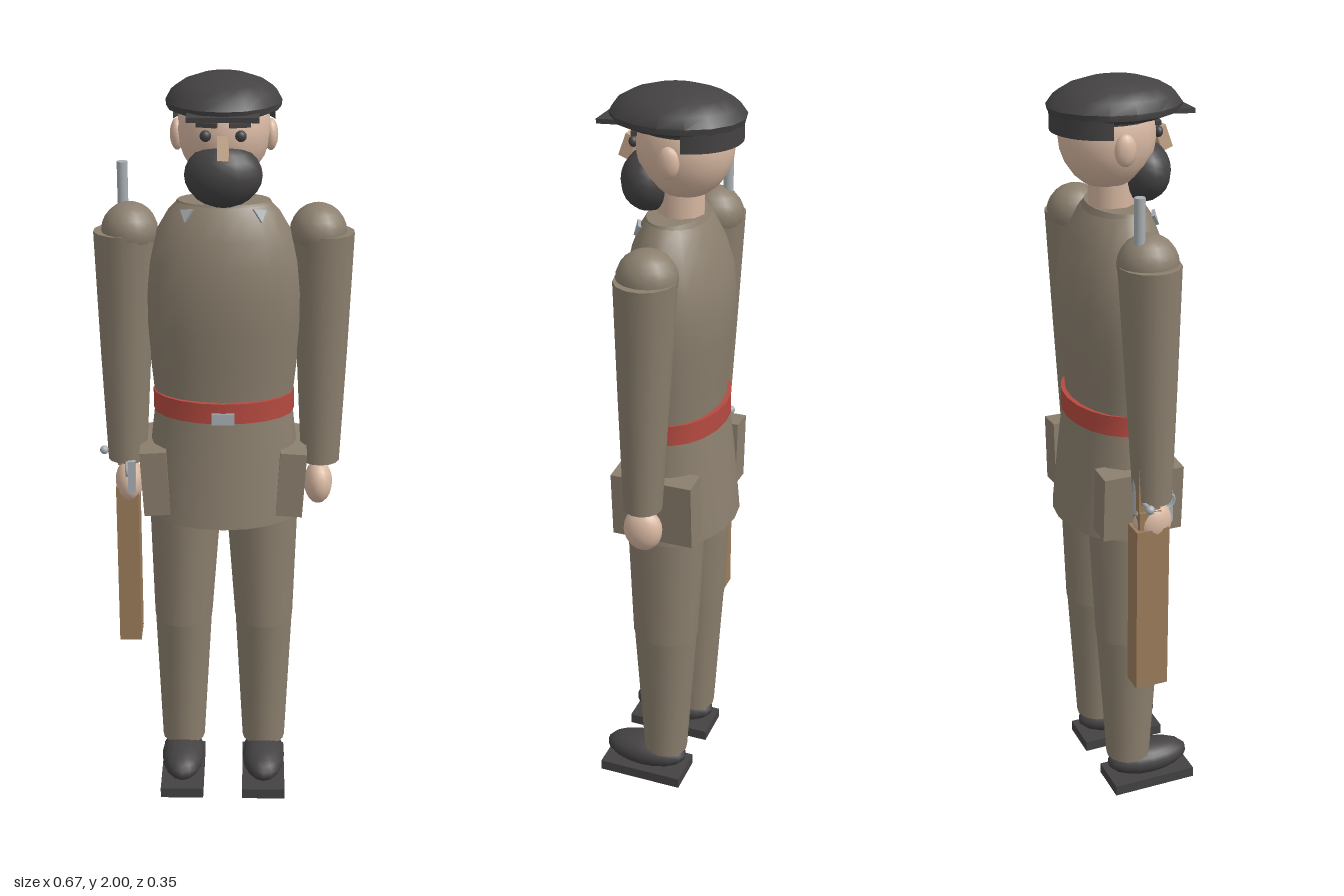
import * as THREE from 'three';
import { toCreasedNormals } from 'three/addons/utils/BufferGeometryUtils.js';

const mat = (name, color) => {
  const m = new THREE.MeshStandardMaterial({ color });
  m.name = name;
  return m;
};

export function createModel() {
  const cloth = mat('khaki cloth', 0x8b7f6e);
  const skin = mat('skin', 0xd8b8a2);
  const nose = mat('nose skin', 0xc9a98c);
  const dark = mat('charcoal', 0x444243);
  const red = mat('red belt', 0xb54a40);
  const metal = mat('grey metal', 0xa9b0b4);
  const wood = mat('wood', 0x9c7d5c);
  const model = new THREE.Group();
  model.name = 'soldier';

  const add = (name, geo, material, x = 0, y = 0, z = 0) => {
    const m = new THREE.Mesh(geo, material);
    m.name = name;
    m.position.set(x, y, z);
    model.add(m);
    return m;
  };
  const box = (name, material, w, h, d, x, y, z) =>
    add(name, new THREE.BoxGeometry(w, h, d), material, x, y, z);
  const ball = (name, material, rx, ry, rz, x, y, z, seg = 16) => {
    const m = add(name, new THREE.SphereGeometry(1, seg, 12), material, x, y, z);
    m.scale.set(rx, ry, rz);
    return m;
  };
  const rod = (name, material, r, h, x, y, z) =>
    add(name, new THREE.CylinderGeometry(r, r, h, 10), material, x, y, z);

  // Closed elliptical loft; rings run top to bottom as [y, rx, rz, cx, cz]
  const loft = (name, material, rings, seg = 20) => {
    const first = rings[0], last = rings[rings.length - 1];
    const tip = (r) => [r[0], 0.0005, 0.0005, r[3], r[4]];
    const rows = [tip(first), ...rings, tip(last)];
    const g = new THREE.CylinderGeometry(1, 1, 1, seg, rows.length - 1, true);
    const p = g.attributes.position;
    for (let i = 0; i < p.count; i++) {
      const [y, rx, rz, cx = 0, cz = 0] = rows[Math.floor(i / (seg + 1))];
      p.setXYZ(i, p.getX(i) * rx + cx, y, p.getZ(i) * rz + cz);
    }
    return add(name, toCreasedNormals(g, 0.7), material);
  };

  // Tunic, skirt and belt
  loft('tunic', cloth, [
    [1.68, 0.12, 0.07, 0, 0], [1.66, 0.14, 0.085, 0, -0.002], [1.6, 0.175, 0.11, 0, -0.005],
    [1.53, 0.196, 0.128, 0, -0.009], [1.45, 0.205, 0.135, 0, -0.01],
    [1.36, 0.203, 0.131, 0, -0.01], [1.26, 0.192, 0.12, 0, -0.01], [1.12, 0.178, 0.11, 0, -0.01]]);
  loft('collar', cloth, [[1.685, 0.118, 0.07, 0, -0.002], [1.655, 0.133, 0.084, 0, -0.002]]);
  loft('tunicSkirt', cloth, [
    [1.13, 0.182, 0.122, 0, -0.01], [1.0, 0.197, 0.138, 0, -0.01], [0.83, 0.208, 0.156, 0, -0.01]]);
  loft('belt', red, [[1.175, 0.186, 0.127, 0, -0.01], [1.12, 0.186, 0.127, 0, -0.01]]);
  box('buckle', metal, 0.06, 0.03, 0.01, 0, 1.135, 0.117);

  for (const s of [-1, 1]) {
    // Collar tab
    const tri = new THREE.Shape();
    tri.moveTo(-0.018, 0.014);
    tri.lineTo(0.006 * s, -0.018);
    tri.lineTo(0.018, 0.014);
    const tab = add('collarTab', new THREE.ExtrudeGeometry(tri, { depth: 0.008, bevelEnabled: false }),
      metal, s * 0.088, 1.66, 0.066);
    tab.rotation.set(-0.4, s * 0.45, 0);

    // Side pocket
    const pocket = box('pocket', cloth, 0.07, 0.18, 0.22, s * 0.18, 0.94, -0.01);
    pocket.rotation.z = -s * 0.06;

    // Legs
    loft('upperLeg', cloth, [
      [0.93, 0.095, 0.104, s * 0.105, -0.01], [0.8, 0.095, 0.103, s * 0.105, -0.01],
      [0.5, 0.08, 0.09, s * 0.112, -0.01]], 16);
    loft('lowerLeg', cloth, [
      [0.505, 0.079, 0.088, s * 0.112, -0.01], [0.1, 0.06, 0.061, s * 0.115, -0.01]], 16);

    // Shoes
    ball('shoe', dark, 0.06, 0.045, 0.12, s * 0.115, 0.07, 0.05);
    box('sole', dark, 0.12, 0.03, 0.24, s * 0.115, 0.015, 0.05);

    // Arms
    ball('shoulder', cloth, 0.073, 0.073, 0.077, s * 0.24, 1.6, -0.015);
    loft('sleeve', cloth, [
      [1.6, 0.083, 0.078, s * 0.251, -0.015], [1.28, 0.067, 0.064, s * 0.256, -0.01],
      [0.975, 0.052, 0.05, s * 0.258, -0.005]], 14);
    ball('hand', skin, 0.038, 0.06, 0.052, s * 0.255, 0.908, -0.003);
  }

  // Head
  rod('neck', skin, 0.06, 0.13, 0, 1.71, -0.012);
  ball('head', skin, 0.117, 0.135, 0.123, 0, 1.86, -0.022, 20);
  ball('beard', dark, 0.097, 0.08, 0.072, 0, 1.762, 0.068);
  const n = box('nose', nose, 0.028, 0.06, 0.03, 0, 1.838, 0.125);
  n.rotation.x = -0.35;
  for (const s of [-1, 1]) {
    ball('ear', skin, 0.018, 0.04, 0.028, s * 0.117, 1.845, -0.022, 10);
    ball('eye', dark, 0.014, 0.014, 0.012, s * 0.043, 1.864, 0.096, 10);
    const brow = box('brow', dark, 0.052, 0.011, 0.014, s * 0.04, 1.89, 0.093);
    brow.rotation.y = s * 0.25;
  }

  // Cap
  loft('capCrown', dark, [
    [2.0, 0.02, 0.024, 0, -0.003], [1.994, 0.06, 0.072, 0, -0.003], [1.98, 0.1, 0.118, 0, -0.003],
    [1.96, 0.13, 0.153, 0, -0.003], [1.935, 0.144, 0.172, 0, -0.003],
    [1.92, 0.142, 0.168, 0, -0.003], [1.91, 0.125, 0.14, 0, -0.01]], 16);
  const visor = box('visor', dark, 0.174, 0.012, 0.12, 0, 1.921, 0.115);
  visor.rotation.x = 0.06;
  const bandGeo = new THREE.CylinderGeometry(0.13, 0.13, 0.06, 16, 1, true, Math.PI * 0.55, Math.PI * 0.9);
  const bandMat = dark.clone();
  bandMat.side = THREE.DoubleSide;
  add('capBackBand', bandGeo, bandMat, 0, 1.905, -0.036);
  loft('capBand', dark, [[1.93, 0.123, 0.13, 0, -0.03], [1.905, 0.12, 0.128, 0, -0.03]]);

  // Rifle carried upright in the right hand
  box('rifleStock', wood, 0.06, 0.47, 0.09, -0.26, 0.665, -0.015);
  box('rifleGrip', wood, 0.045, 0.06, 0.06, -0.26, 0.92, -0.02);
  box('rifleForestock', wood, 0.04, 0.69, 0.06, -0.265, 1.3, -0.024);
  rod('rifleBarrel', metal, 0.014, 0.83, -0.258, 1.355, -0.045);
  box('rifleReceiver', metal, 0.02, 0.09, 0.03, -0.245, 0.94, 0.04);
  const bolt = rod('boltHandle', metal, 0.006, 0.09, -0.28, 0.98, -0.04);
  bolt.rotation.z = Math.PI / 2;
  ball('boltKnob', metal, 0.012, 0.012, 0.012, -0.325, 0.98, -0.04, 10);
  const guard = add('triggerGuard', new THREE.TorusGeometry(0.022, 0.004, 6, 14), metal, -0.258, 0.96, 0.035);
  guard.rotation.y = Math.PI / 2;

  return model;
}
